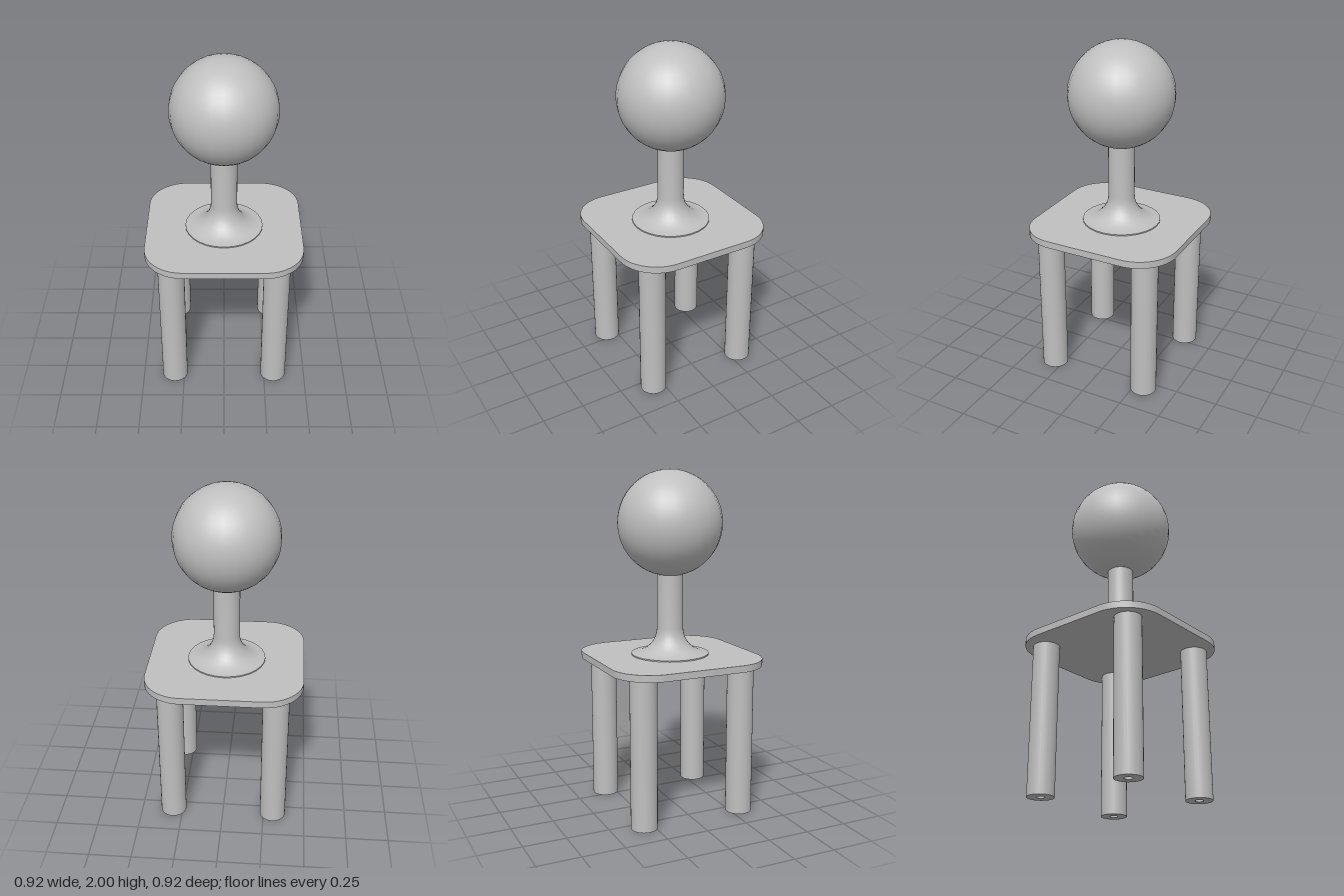
import * as THREE from 'three';
import { toCreasedNormals } from 'three/addons/utils/BufferGeometryUtils.js';

const grey = new THREE.MeshStandardMaterial({ color: 0xbfbfbf });
grey.name = 'plain grey';

const PLATE_BOTTOM = 0.885, PLATE_TOP = 0.925, HALF = 0.46, CORNER = 0.23;
const ROD = 0.077, BALL = 0.305, BALL_Y = 1.695;

function part(name, geometry) {
  const mesh = new THREE.Mesh(geometry, grey);
  mesh.name = name;
  return mesh;
}

// Turned solid from [radius, height] pairs, with sharp rims kept
function turned(profile, segments = 28) {
  const points = profile.map(([r, y]) => new THREE.Vector2(r, y));
  return toCreasedNormals(new THREE.LatheGeometry(points, segments), 0.6);
}

// Square plate with rounded corners
function plateGeometry() {
  const s = new THREE.Shape();
  const c = HALF - CORNER;
  s.moveTo(-c, -HALF);
  s.absarc(c, -c, CORNER, -Math.PI / 2, 0);
  s.absarc(c, c, CORNER, 0, Math.PI / 2);
  s.absarc(-c, c, CORNER, Math.PI / 2, Math.PI);
  s.absarc(-c, -c, CORNER, Math.PI, Math.PI * 1.5);
  const g = new THREE.ExtrudeGeometry(s, {
    depth: PLATE_TOP - PLATE_BOTTOM, bevelEnabled: false, curveSegments: 6,
  });
  g.rotateX(-Math.PI / 2).translate(0, PLATE_BOTTOM, 0);
  return toCreasedNormals(g, 0.6);
}

export function createModel() {
  const model = new THREE.Group();
  model.name = 'ballOnStand';

  model.add(part('plate', plateGeometry()));

  // Four round legs, each with a small bore in its foot
  const legGeometry = turned([
    [0, 0.2], [0.024, 0.2], [0.024, 0], [ROD, 0], [ROD, PLATE_BOTTOM], [0, PLATE_BOTTOM],
  ]);
  for (const x of [-1, 1]) {
    for (const z of [-1, 1]) {
      const leg = part(`${z > 0 ? 'front' : 'back'}${x > 0 ? 'Left' : 'Right'}Leg`, legGeometry);
      leg.position.set(x * 0.306, 0, z * 0.306);
      model.add(leg);
    }
  }

  // Stem flaring through a concave fillet to a thin-lipped foot
  const foot = 0.23, lip = 0.932, fillet = foot - ROD;
  const profile = [[0, PLATE_TOP], [foot, PLATE_TOP]];
  for (let i = 0; i <= 8; i++) {
    const a = (i / 8) * Math.PI / 2;
    profile.push([foot - fillet * Math.sin(a), lip + fillet * (1 - Math.cos(a))]);
  }
  profile.push([ROD, 1.42]);
  model.add(part('stem', turned(profile)));

  // Ball
  const ball = part('ball', new THREE.SphereGeometry(BALL, 26, 26));
  ball.rotation.y = Math.PI / 2;
  ball.position.y = BALL_Y;
  model.add(ball);

  return model;
}
